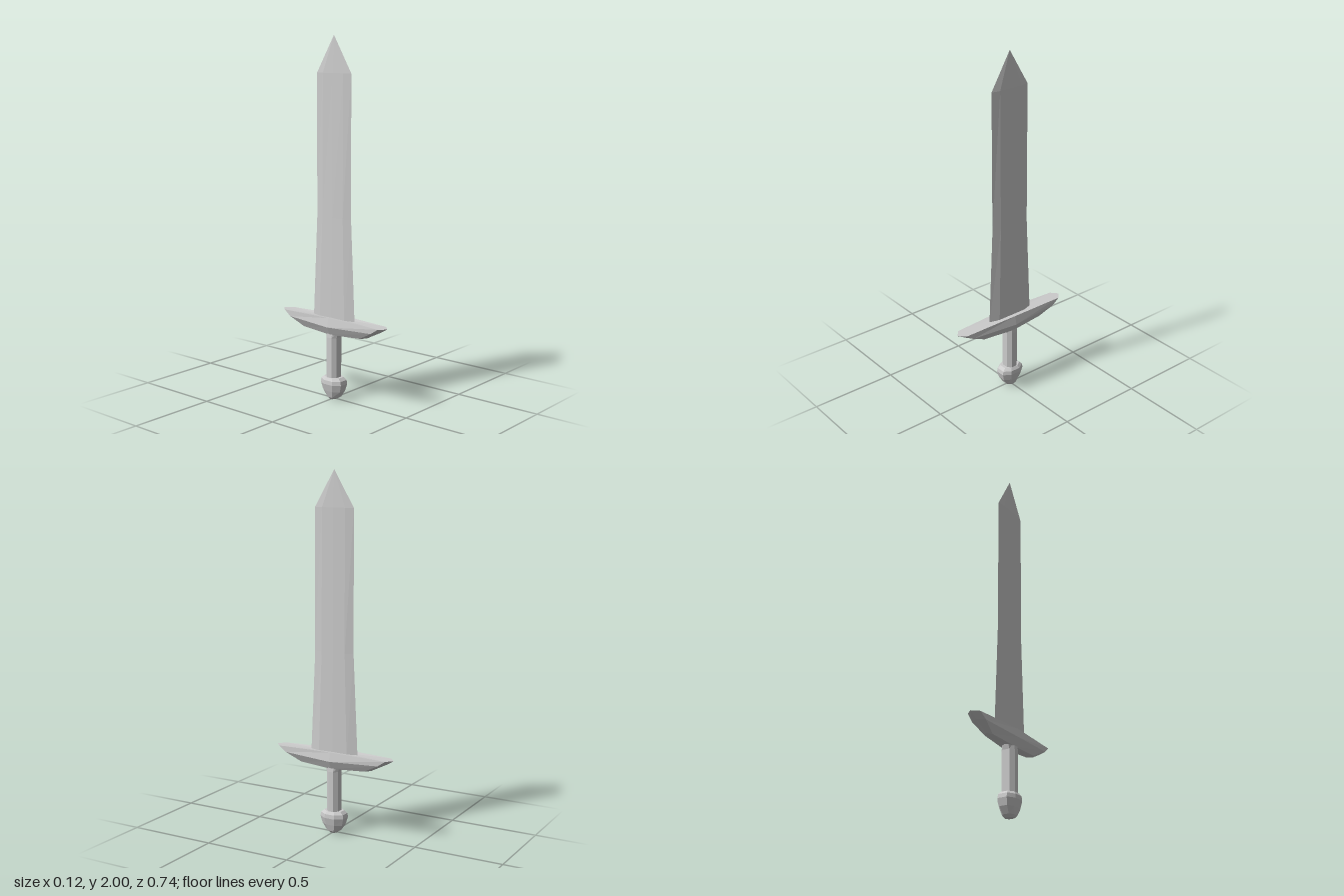
import * as THREE from 'three';

const material = new THREE.MeshStandardMaterial({ color: 0xcccccc, flatShading: true });

// Mirrors a quarter outline of [x, z] points (from the +x side round to +z) into a closed ring.
// height is a number or a rule giving y from z.
function ring(height, quarter) {
  const back = [...quarter].reverse();
  const all = [
    ...quarter,
    ...back.filter(([x]) => x > 0).map(([x, z]) => [-x, z]),
    ...quarter.filter(([, z]) => z > 0).map(([x, z]) => [-x, -z]),
    ...back.filter(([x, z]) => x > 0 && z > 0).map(([x, z]) => [x, -z]),
  ];
  return all.map(([x, z]) =>
    new THREE.Vector3(x, typeof height === 'function' ? height(Math.abs(z)) : height, z));
}

// Skins a stack of rings, bottom to top, and closes both ends.
function loft(name, rings) {
  const positions = [];
  const face = (a, b, c) => {
    if (new THREE.Triangle(a, b, c).getArea() < 1e-9) return;
    for (const p of [a, b, c]) positions.push(p.x, p.y, p.z);
  };
  const n = rings[0].length;
  const centre = (r) => r.reduce((s, p) => s.add(p), new THREE.Vector3()).divideScalar(n);
  const low = rings[0], high = rings[rings.length - 1];
  const lowMid = centre(low), highMid = centre(high);
  for (let i = 0; i < n; i++) {
    const j = (i + 1) % n;
    for (let k = 0; k < rings.length - 1; k++) {
      const a = rings[k], b = rings[k + 1];
      face(a[i], b[i], a[j]);
      face(a[j], b[i], b[j]);
    }
    face(lowMid, low[i], low[j]);
    face(highMid, high[j], high[i]);
  }
  const geometry = new THREE.BufferGeometry();
  geometry.setAttribute('position', new THREE.Float32BufferAttribute(positions, 3));
  geometry.computeVertexNormals();
  const mesh = new THREE.Mesh(geometry, material);
  mesh.name = name;
  return mesh;
}

export function createModel() {
  const group = new THREE.Group();
  group.name = 'sword';

  // Blade: faceted section, tapering to a point
  const bladeSection = (y, thick, bevel, edge) =>
    ring(y, [[thick, 0], [thick * 0.85, bevel], [0, edge]]);
  const tip = bladeSection(1.8, 0.011, 0.07, 0.119).map(() => new THREE.Vector3(0, 2, 0));
  group.add(loft('blade', [
    bladeSection(0.44, 0.021, 0.088, 0.147),
    bladeSection(1.02, 0.015, 0.072, 0.12),
    bladeSection(1.8, 0.011, 0.07, 0.119),
    tip,
  ]));

  // Crossguard: boat-shaped, with undercut ends
  group.add(loft('crossguard', [
    ring((z) => 0.372 + z * 0.055, [[0.036, 0], [0.024, 0.2], [0, 0.23]]),
    ring((z) => 0.418 + z * 0.04, [[0.059, 0], [0.041, 0.29], [0, 0.32]]),
    ring((z) => 0.469 - z * 0.025, [[0.049, 0], [0.038, 0.335], [0, 0.37]]),
  ]));

  // Grip: eight-sided, flaring slightly under the guard
  const gripSection = (y, sx, sz) => ring(y, [[0.04 * sx, 0.015 * sz], [0.02 * sx, 0.036 * sz]]);
  group.add(loft('grip', [
    gripSection(0.1, 1, 1),
    gripSection(0.355, 1, 1),
    gripSection(0.39, 0.9, 1.25),
  ]));

  // Pommel: rounded knob narrowing downwards
  const pommelRows = [
    [0, 0.026, 0.02], [0.012, 0.035, 0.038], [0.05, 0.046, 0.062],
    [0.09, 0.055, 0.073], [0.112, 0.053, 0.069], [0.127, 0.042, 0.052],
  ];
  group.add(loft('pommel', pommelRows.map(([y, x, z]) =>
    ring(y, [[x, z * 0.42], [x * 0.5, z]]))));

  return group;
}
